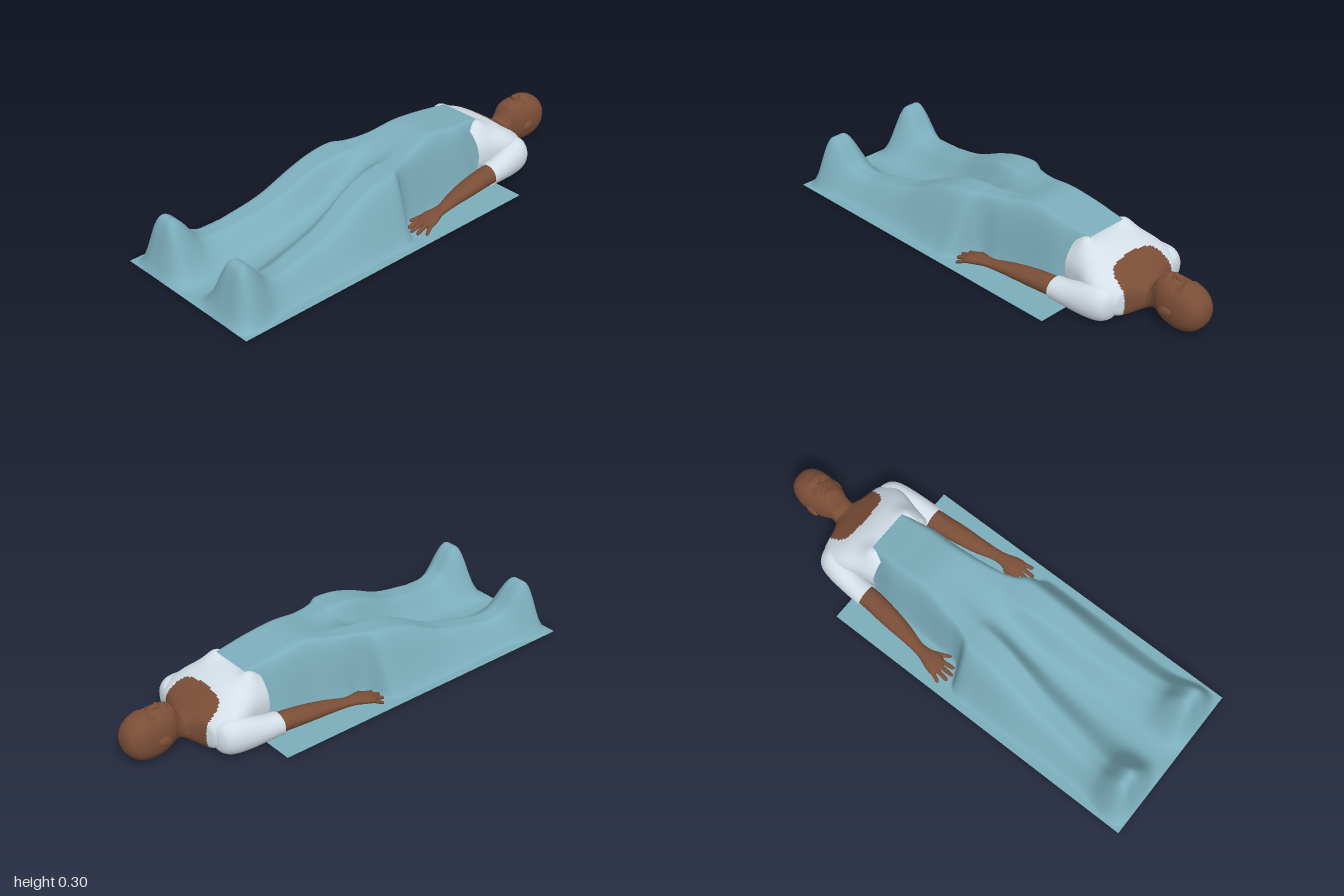
import * as THREE from 'three';

const material = (name, color, side = THREE.FrontSide) => {
  const m = new THREE.MeshStandardMaterial({ color, side });
  m.name = name;
  return m;
};

// smooth interpolation of table rows, keyed by their first column (z)
function sample(rows, z) {
  let i = 0;
  while (i < rows.length - 2 && z > rows[i + 1][0]) i++;
  const a = rows[i], b = rows[i + 1], p = rows[i - 1] || a, q = rows[i + 2] || b;
  const d = b[0] - a[0], t = THREE.MathUtils.clamp((z - a[0]) / d, 0, 1), t2 = t * t, t3 = t2 * t;
  return a.map((v, k) => {
    if (k === 0) return z;
    const m0 = (b[k] - p[k]) / (b[0] - p[0]) * d, m1 = (q[k] - a[k]) / (q[0] - a[0]) * d;
    return (2 * t3 - 3 * t2 + 1) * v + (t3 - 2 * t2 + t) * m0 + (3 * t2 - 2 * t3) * b[k] + (t3 - t2) * m1;
  });
}

// skin of rings stacked along z; rows are [z, centreX, bottomY, topY, halfWidth]
function loft(name, rows, mats, { seg = 24, sub = 5, power = 1, warp, pick } = {}) {
  const pos = [], lists = [[], []], n = (rows.length - 1) * sub;
  const round = (v) => Math.sign(v) * Math.abs(v) ** power;
  for (let i = 0; i <= n; i++) {
    const k = Math.min(Math.floor(i / sub), rows.length - 2);
    const z = THREE.MathUtils.lerp(rows[k][0], rows[k + 1][0], i / sub - k);
    const [, cx, lo, hi, w] = sample(rows, z);
    for (let j = 0; j < seg; j++) {
      const a = j / seg * Math.PI * 2;
      const x = cx + w * round(Math.cos(a));
      let y = (lo + hi) / 2 + (hi - lo) / 2 * round(Math.sin(a));
      if (warp && Math.sin(a) > 0) y += warp(x, z) * Math.sin(a);
      pos.push(x, Math.max(y, 0), z);
    }
  }
  for (let i = 0; i < n; i++) for (let j = 0; j < seg; j++) {
    const a = i * seg + j, b = i * seg + (j + 1) % seg, c = a + seg, d = b + seg;
    const mid = [0, 1, 2].map((k) => (pos[a * 3 + k] + pos[d * 3 + k]) / 2);
    lists[pick ? pick(...mid) : 0].push(a, b, c, b, d, c);
  }
  const g = new THREE.BufferGeometry();
  g.setAttribute('position', new THREE.Float32BufferAttribute(pos, 3));
  g.setIndex(lists.flat());
  if (pick) {
    g.addGroup(0, lists[0].length, 0);
    g.addGroup(lists[0].length, lists[1].length, 1);
  }
  g.computeVertexNormals();
  const mesh = new THREE.Mesh(g, mats);
  mesh.name = name;
  return mesh;
}

const bump = (x, z, cx, cz, rx, rz) => Math.exp(-(((x - cx) / rx) ** 2) - ((z - cz) / rz) ** 2);

// blanket rows: z, ridge height, ridge centre, ridge half width, outer foot, midline height, fullness
const DRAPE = [
  [-0.49, 0.268, 0.06, 0.03, 0.18, 0.268, 1], [-0.43, 0.277, 0.06, 0.03, 0.185, 0.277, 1.2],
  [-0.35, 0.287, 0.06, 0.02, 0.2, 0.287, 1.9], [-0.2, 0.303, 0.06, 0.015, 0.205, 0.303, 2],
  [-0.06, 0.275, 0.09, 0.02, 0.21, 0.27, 2], [0.045, 0.267, 0.12, 0.03, 0.22, 0.245, 1.8],
  [0.1, 0.267, 0.13, 0.045, 0.325, 0.22, 1.2], [0.2, 0.255, 0.135, 0.045, 0.34, 0.165, 1.1],
  [0.3, 0.222, 0.145, 0.04, 0.34, 0.11, 1.1], [0.45, 0.155, 0.165, 0.035, 0.34, 0.06, 1],
  [0.6, 0.122, 0.18, 0.03, 0.335, 0.03, 1], [0.72, 0.106, 0.195, 0.025, 0.335, 0.015, 1],
  [0.8, 0.128, 0.205, 0.025, 0.34, 0.01, 1], [0.87, 0.215, 0.21, 0.025, 0.355, 0.008, 1.1],
  [0.905, 0.235, 0.212, 0.026, 0.362, 0.007, 1.1], [0.935, 0.208, 0.212, 0.026, 0.363, 0.006, 1.1],
  [0.965, 0.1, 0.212, 0.026, 0.363, 0.006, 1], [0.985, 0.035, 0.212, 0.026, 0.363, 0.006, 1],
  [1, 0.006, 0.212, 0.026, 0.363, 0.006, 1],
];

function blanket(mat) {
  const g = new THREE.PlaneGeometry(0.726, 1.49, 110, 200).rotateX(-Math.PI / 2).translate(0, 0, 0.255);
  const p = g.attributes.position, step = THREE.MathUtils.smoothstep;
  for (let i = 0; i < p.count; i++) {
    const ax = Math.abs(p.getX(i)), z = p.getZ(i);
    const [, h, c, w, foot, mid, full] = sample(DRAPE, z);
    const y = ax > c ? h * (1 - step(ax, c + w, foot) ** full)
      : mid + (h - mid) * step(ax, 0, c - w + 0.005) ** 1.6;
    p.setY(i, Math.max(y, 0.005));
  }
  g.computeVertexNormals();
  const mesh = new THREE.Mesh(g, mat);
  mesh.name = 'blanket';
  return mesh;
}

function ellipsoid(name, mat, at, size, tilt = 0) {
  const mesh = new THREE.Mesh(new THREE.SphereGeometry(1, 20, 14), mat);
  mesh.name = name;
  mesh.position.set(...at);
  mesh.scale.set(...size);
  mesh.rotation.x = tilt;
  return mesh;
}

// brow, eye sockets, lips and the crease below them
const face = (x, z) => -0.011 * bump(Math.abs(x), z, 0.032, -0.88, 0.018, 0.014)
  + 0.004 * bump(x, z, 0, -0.905, 0.05, 0.012)
  + 0.01 * bump(x, z, 0, -0.813, 0.02, 0.01)
  - 0.005 * bump(x, z, 0, -0.796, 0.03, 0.007);

export function createModel() {
  const skin = material('skin', 0x7a4e37);
  const cloth = material('shirt white', 0xd3dee7, THREE.DoubleSide);
  const teal = material('blanket teal', 0x7badbb, THREE.DoubleSide);
  const model = new THREE.Group();
  model.name = 'lyingPatient';
  model.add(blanket(teal));

  // torso: shirt with a scooped neckline, lower at the back
  model.add(loft('torso', [
    [-0.76, 0, 0.035, 0.125, 0.05], [-0.738, 0, 0.025, 0.13, 0.062], [-0.716, 0, 0.014, 0.142, 0.115],
    [-0.698, 0, 0.008, 0.155, 0.185], [-0.65, 0, 0.002, 0.187, 0.222], [-0.58, 0, 0.002, 0.228, 0.215],
    [-0.5, 0, 0.004, 0.25, 0.19], [-0.43, 0, 0.008, 0.243, 0.175],
  ], [skin, cloth], {
    seg: 120, sub: 12, power: 0.8,
    warp: (x, z) => 0.038 * bump(Math.abs(x), z, 0.12, -0.475, 0.045, 0.05),
    pick: (x, y, z) => {
      const depth = y < 0.07 ? 0.17 : 0.108;
      return z < -0.718 || (x / 0.138) ** 4 + ((z + 0.72) / depth) ** 4 < 1 ? 0 : 1;
    },
  }));

  // head and neck
  const head = new THREE.Group();
  head.name = 'head';
  head.add(loft('skull', [
    [-1, 0, 0.0998, 0.1002, 0.0002], [-0.996, 0, 0.07, 0.135, 0.032], [-0.98, 0, 0.04, 0.165, 0.056],
    [-0.95, 0, 0.014, 0.19, 0.073], [-0.91, 0, 0.001, 0.203, 0.08], [-0.87, 0, 0, 0.203, 0.079],
    [-0.83, 0, 0.008, 0.204, 0.074], [-0.8, 0, 0.02, 0.202, 0.065], [-0.782, 0, 0.027, 0.194, 0.056],
    [-0.768, 0, 0.032, 0.168, 0.053], [-0.752, 0, 0.033, 0.142, 0.054], [-0.72, 0, 0.03, 0.132, 0.058],
  ], skin, { seg: 64, sub: 8, power: 0.92, warp: face }));
  head.add(ellipsoid('nose', skin, [0, 0.204, -0.858], [0.011, 0.013, 0.027], -0.25));
  head.add(ellipsoid('noseTip', skin, [0, 0.211, -0.841], [0.012, 0.013, 0.01]));
  model.add(head);

  for (const s of [1, -1]) {
    const side = s > 0 ? 'left' : 'right';
    const mirrored = (rows) => rows.map(([z, x, ...rest]) => [z, x * s, ...rest]);
    head.add(ellipsoid(side + 'Eye', skin, [s * 0.031, 0.183, -0.88], [0.014, 0.01, 0.009]));
    head.add(ellipsoid(side + 'Nostril', skin, [s * 0.01, 0.205, -0.841], [0.007, 0.009, 0.008]));
    head.add(ellipsoid(side + 'Ear', skin, [s * 0.08, 0.092, -0.858], [0.009, 0.02, 0.031], 0.2));

    model.add(loft(side + 'Sleeve', mirrored([
      [-0.7, 0.17, 0.0795, 0.0805, 0.0005], [-0.692, 0.175, 0.04, 0.12, 0.03],
      [-0.675, 0.185, 0.018, 0.142, 0.052], [-0.64, 0.194, 0.005, 0.156, 0.062],
      [-0.58, 0.207, 0.006, 0.148, 0.06], [-0.5, 0.221, 0.016, 0.128, 0.053],
      [-0.43, 0.226, 0.022, 0.117, 0.052],
    ]), cloth, { seg: 36, sub: 6 }));

    // bare arm running into the palm
    model.add(loft(side + 'Arm', mirrored([
      [-0.47, 0.225, 0.028, 0.11, 0.044], [-0.4, 0.227, 0.028, 0.108, 0.045],
      [-0.3, 0.238, 0.03, 0.1, 0.043], [-0.2, 0.25, 0.032, 0.086, 0.035],
      [-0.12, 0.265, 0.034, 0.072, 0.026], [-0.08, 0.27, 0.032, 0.07, 0.03],
      [-0.04, 0.273, 0.026, 0.066, 0.042], [0, 0.278, 0.02, 0.054, 0.041],
      [0.012, 0.279, 0.03, 0.042, 0.02],
    ]), skin));

    // thumb, then the four fingers: start x, start z, tip x, tip z
    [[0.243, -0.06, 0.203, 0.01], [0.25, -0.015, 0.236, 0.052], [0.269, -0.01, 0.265, 0.066],
      [0.289, -0.01, 0.295, 0.06], [0.304, -0.02, 0.325, 0.035]].forEach(([x0, z0, x1, z1], f) => {
      const at = (t, r) => {
        const y = 0.042 - 0.024 * t;
        return [z0 + (z1 - z0) * t, s * (x0 + (x1 - x0) * t), y - r, y + r, r];
      };
      model.add(loft(side + (f ? 'Finger' + f : 'Thumb'),
        [at(0, 0.01), at(0.5, 0.0095), at(0.88, 0.008), at(0.97, 0.005), at(1, 0.0005)], skin, { seg: 12, sub: 3 }));
    });
  }
  return model;
}
